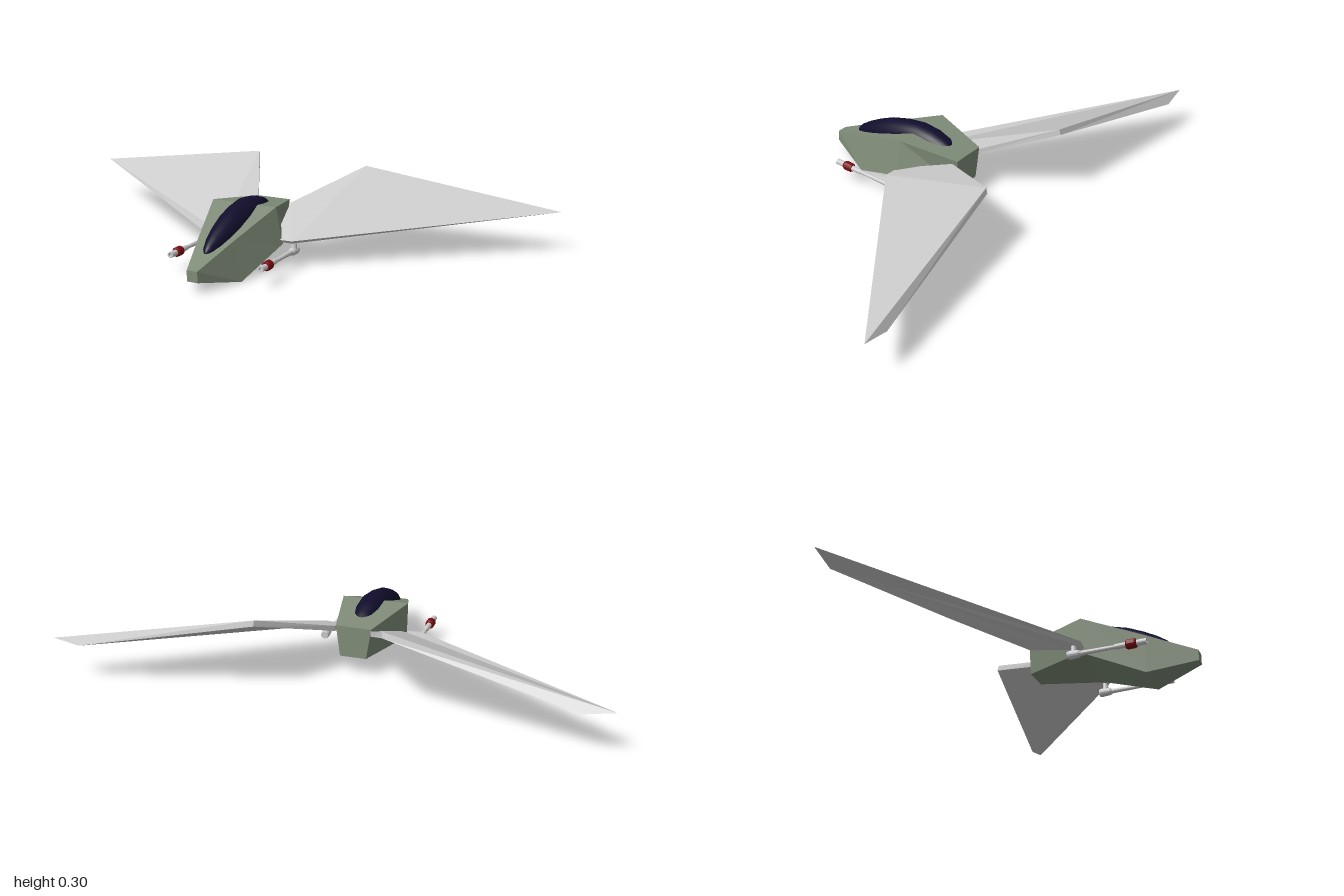
import * as THREE from 'three';
import { mergeVertices } from 'three/addons/utils/BufferGeometryUtils.js';

// Skin a list of equal-length rings (counter-clockwise seen from the end) and cap both ends
function loft(rings, smooth = false) {
  const pos = [];
  const tri = (a, b, c) => pos.push(...a, ...b, ...c);
  const n = rings[0].length;
  for (let i = 0; i < rings.length - 1; i++) {
    const a = rings[i], b = rings[i + 1];
    for (let j = 0; j < n; j++) {
      const k = (j + 1) % n;
      tri(a[j], a[k], b[k]);
      tri(a[j], b[k], b[j]);
    }
  }
  const first = rings[0], last = rings[rings.length - 1];
  for (let j = 1; j < n - 1; j++) {
    tri(first[0], first[j + 1], first[j]);
    tri(last[0], last[j], last[j + 1]);
  }
  let geo = new THREE.BufferGeometry();
  geo.setAttribute('position', new THREE.Float32BufferAttribute(pos, 3));
  if (smooth) geo = mergeVertices(geo, 1e-5);
  geo.computeVertexNormals();
  return geo;
}

function mesh(name, geo, color, flatShading = false) {
  const m = new THREE.Mesh(geo, new THREE.MeshStandardMaterial({ color, flatShading }));
  m.name = name;
  return m;
}

const GREEN = 0x7f8c78, GREY = 0xcccccc, NAVY = 0x110d2c, RED = 0x7a0c12;

// Faceted hull: z, bottom y, top y, bottom x range, top x range
function fuselage() {
  const stations = [
    [-0.125, 0.07, 0.187, -0.065, 0.035, -0.085, 0.05],
    [0.1, 0.083, 0.217, -0.152, 0.128, -0.155, 0.10],
    [0.32, 0.0, 0.143, -0.088, 0.076, -0.092, 0.045],
    [0.5, 0.04, 0.08, -0.038, 0.004, -0.038, 0.002],
  ];
  const rings = stations.map(([z, y0, y1, bl, br, tl, tr]) =>
    [[bl, y0, z], [br, y0, z], [tr, y1, z], [tl, y1, z]]);
  return mesh('fuselage', loft(rings), GREEN, true);
}

// Bubble canopy: z, base y, top y, half width
function canopy() {
  const curve = [
    [-0.06, 0.185, 0.187, 0.004], [-0.05, 0.185, 0.195, 0.018], [-0.02, 0.188, 0.214, 0.036],
    [0.03, 0.195, 0.231, 0.046], [0.1, 0.2, 0.24, 0.049], [0.17, 0.18, 0.233, 0.052],
    [0.24, 0.155, 0.216, 0.051], [0.3, 0.135, 0.191, 0.045], [0.35, 0.12, 0.166, 0.034],
    [0.385, 0.115, 0.143, 0.021], [0.4, 0.113, 0.128, 0.011], [0.406, 0.113, 0.118, 0.003],
  ];
  const n = 24;
  const rings = curve.map(([z, y0, y1, w]) => Array.from({ length: n }, (_, i) => {
    const a = (i / n) * Math.PI * 2;
    const h = Math.sin(a) > 0 ? y1 - y0 : 0.02;
    return [-0.018 + Math.cos(a) * w, y0 + Math.sin(a) * h, z];
  }));
  return mesh('canopy', loft(rings, true), NAVY);
}

// Swept wing slab: upper and lower outlines in the order front root, tip, rear peak, inner rear, inner front
function wing(name, upper, lower) {
  if (upper[1][0] < 0) { upper = upper.reverse(); lower = lower.reverse(); }
  return mesh(name, loft([lower, upper]), GREY, true);
}

// Gun along +z, tilted slightly nose up
function gun(name, x) {
  const g = new THREE.Group();
  g.name = name;
  const lathe = (part, pts, color) => {
    const m = mesh(part, new THREE.LatheGeometry(pts.map(p => new THREE.Vector2(...p)), 14), color, true);
    m.rotation.x = Math.PI / 2;
    g.add(m);
  };
  lathe('barrel', [[0, 0.065], [0.014, 0.065], [0.016, 0.075], [0.014, 0.105], [0.009, 0.115],
    [0.007, 0.235], [0.0095, 0.24], [0.0105, 0.285], [0, 0.285]], GREY);
  lathe('redCollar', [[0, 0.28], [0.014, 0.28], [0.0175, 0.286], [0.0175, 0.313], [0.014, 0.319], [0, 0.319]], RED);
  lathe('muzzle', [[0, 0.315], [0.011, 0.315], [0.011, 0.355], [0.007, 0.355], [0.006, 0.345], [0, 0.345]], GREY);
  const mount = mesh('gunMount', new THREE.CylinderGeometry(0.009, 0.013, 0.04, 10), GREY, true);
  mount.position.set(0, 0.018, 0.088);
  g.add(mount);
  g.rotation.x = -0.035;
  g.position.set(x, 0.057, 0);
  return g;
}

export function createModel() {
  const model = new THREE.Group();
  model.name = 'spacecraft';
  model.add(fuselage(), canopy());
  model.add(wing('leftWing',
    [[0.17, 0.102, 0.112], [0.99, 0.16, -0.5], [0.25, 0.281, -0.395], [0.06, 0.178, -0.11], [0.1, 0.1, 0.11]],
    [[0.165, 0.09, 0.1], [0.89, 0.142, -0.5], [0.25, 0.26, -0.4], [0.06, 0.158, -0.11], [0.1, 0.09, 0.1]]));
  model.add(wing('rightWing',
    [[-0.2, 0.102, 0.118], [-1, 0.163, -0.475], [-0.21, 0.296, -0.388], [-0.08, 0.178, -0.12], [-0.13, 0.1, 0.11]],
    [[-0.195, 0.09, 0.105], [-0.89, 0.145, -0.483], [-0.21, 0.275, -0.393], [-0.08, 0.158, -0.12], [-0.13, 0.09, 0.1]]));
  model.add(gun('leftGun', 0.167), gun('rightGun', -0.19));
  return model;
}
